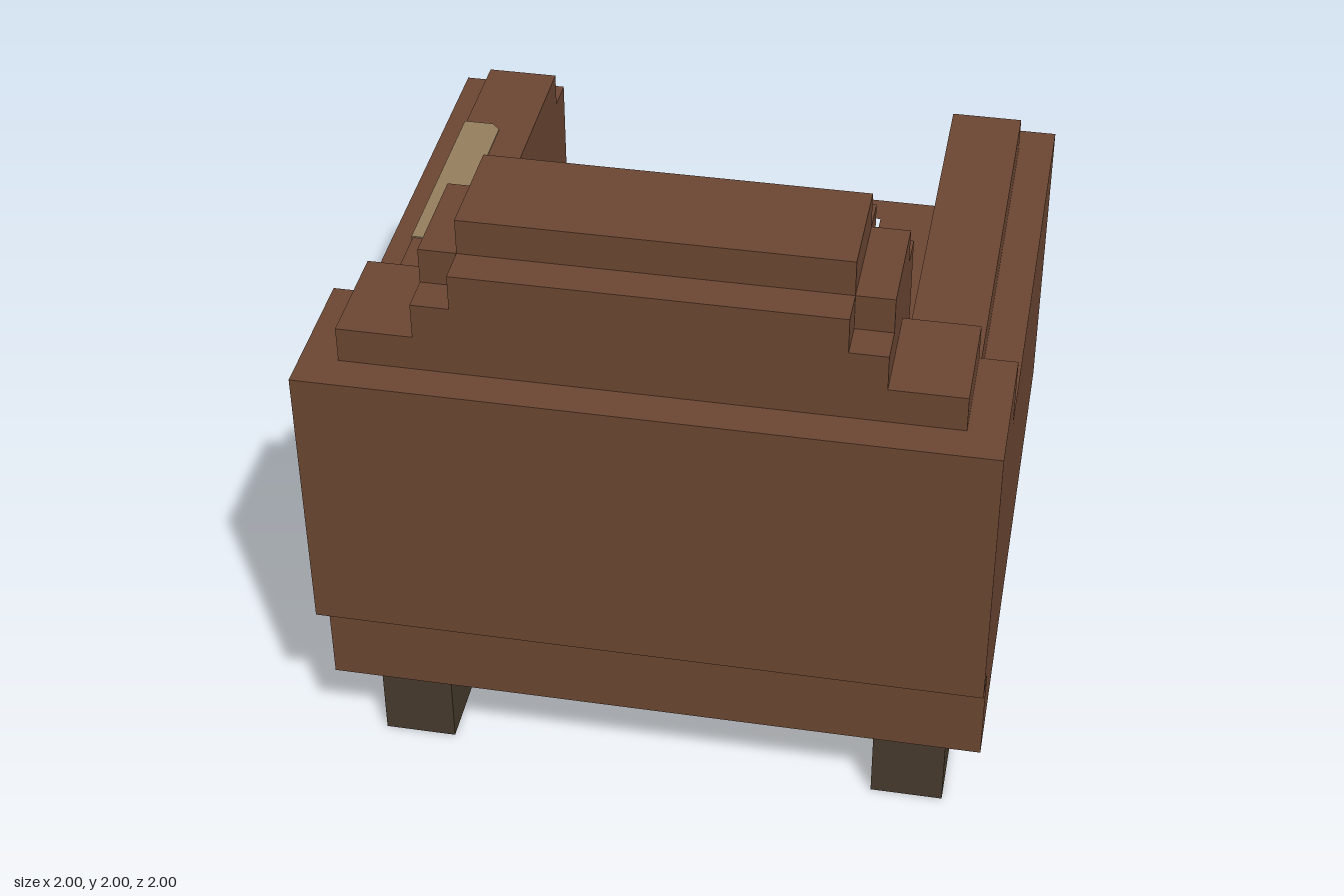
import * as THREE from 'three';

// Everything sits on a block grid: 18 blocks span 2 units.
const U = 1 / 9;

export function createModel() {
  const group = new THREE.Group();
  group.name = 'armchair';

  const leather = new THREE.MeshStandardMaterial({ color: 0x6b4632 });
  leather.name = 'brown leather';
  const wood = new THREE.MeshStandardMaterial({ color: 0x463a2c });
  wood.name = 'dark wood';
  const cloth = new THREE.MeshStandardMaterial({ color: 0x947f5e });
  cloth.name = 'tan patch';

  const add = (name, geometry, material) => {
    const mesh = new THREE.Mesh(geometry, material);
    mesh.name = name;
    group.add(mesh);
    return mesh;
  };

  // Block between grid limits on x, y and z
  const block = (name, material, [x0, x1], [y0, y1], [z0, z1]) => {
    const g = new THREE.BoxGeometry((x1 - x0) * U, (y1 - y0) * U, (z1 - z0) * U);
    g.translate((x0 + x1) / 2 * U, (y0 + y1) / 2 * U, (z0 + z1) / 2 * U);
    return add(name, g, material);
  };

  // Block mirrored to both sides
  const pair = (name, material, [x0, x1], y, z) => {
    block(name + 'Left', material, [x0, x1], y, z);
    block(name + 'Right', material, [-x1, -x0], y, z);
  };

  // Horizontal slab from an outline of [x, z] grid points, with optional hole
  const slab = (name, material, outline, hole, y, height) => {
    const toPoints = (list) => list.map(([x, z]) => new THREE.Vector2(x * U, -z * U));
    const shape = new THREE.Shape(toPoints(outline));
    if (hole) shape.holes.push(new THREE.Path(toPoints(hole)));
    const g = new THREE.ExtrudeGeometry(shape, { depth: height * U, bevelEnabled: false });
    g.rotateX(-Math.PI / 2);
    g.translate(0, y * U, 0);
    return add(name, g, material);
  };

  // Rectangle with a square notch of one block at each corner
  const notched = (x, z0, z1) => [
    [-x + 1, z0], [x - 1, z0], [x - 1, z0 + 1], [x, z0 + 1], [x, z1 - 1], [x - 1, z1 - 1],
    [x - 1, z1], [-x + 1, z1], [-x + 1, z1 - 1], [-x, z1 - 1], [-x, z0 + 1], [-x + 1, z0 + 1],
  ];

  // Legs
  pair('rearLeg', wood, [6, 8], [0, 3], [5, 7]);
  pair('frontLeg', wood, [6, 8], [0, 3], [-8, -6]);

  // Base and seat with its sunken cushion
  block('base', leather, [-9, 9], [3, 6], [-9, 8]);
  block('seatCushion', leather, [-6, 6], [6, 8], [-9, 5]);
  slab('seatRim', leather, [[-6, -9], [6, -9], [6, 3], [-6, 3]], notched(5, -8, 1), 8, 1);

  // Arms with raised pads
  pair('arm', leather, [6, 9], [6, 12], [-9, 5]);
  pair('armPad', leather, [6, 8], [12, 13], [-8, 5]);

  // Backrest
  block('backShell', leather, [-9, 9], [6, 14], [5, 9]);
  pair('shoulder', leather, [6, 8], [14, 15], [5, 8]);
  block('backCushion', leather, [-6, 6], [8, 16], [3, 8]);
  block('lumbarPanel', leather, [-5, 5], [9, 14], [2, 3]);
  slab('backCap', leather, notched(6, 3, 8), null, 16, 1);
  block('backCrown', leather, [-5, 5], [17, 18], [4, 7]);

  // Worn patch folded over the outer edge of the right arm pad
  slab('patchTop', cloth, [
    [-8.03, -5], [-7.2, -5], [-6.95, -4.75], [-6.95, 0.75], [-7.2, 1], [-8.03, 1],
  ], null, 13, 0.04);
  block('patchSide', cloth, [-8.04, -8], [12, 13.03], [-5, 1]);

  return group;
}
